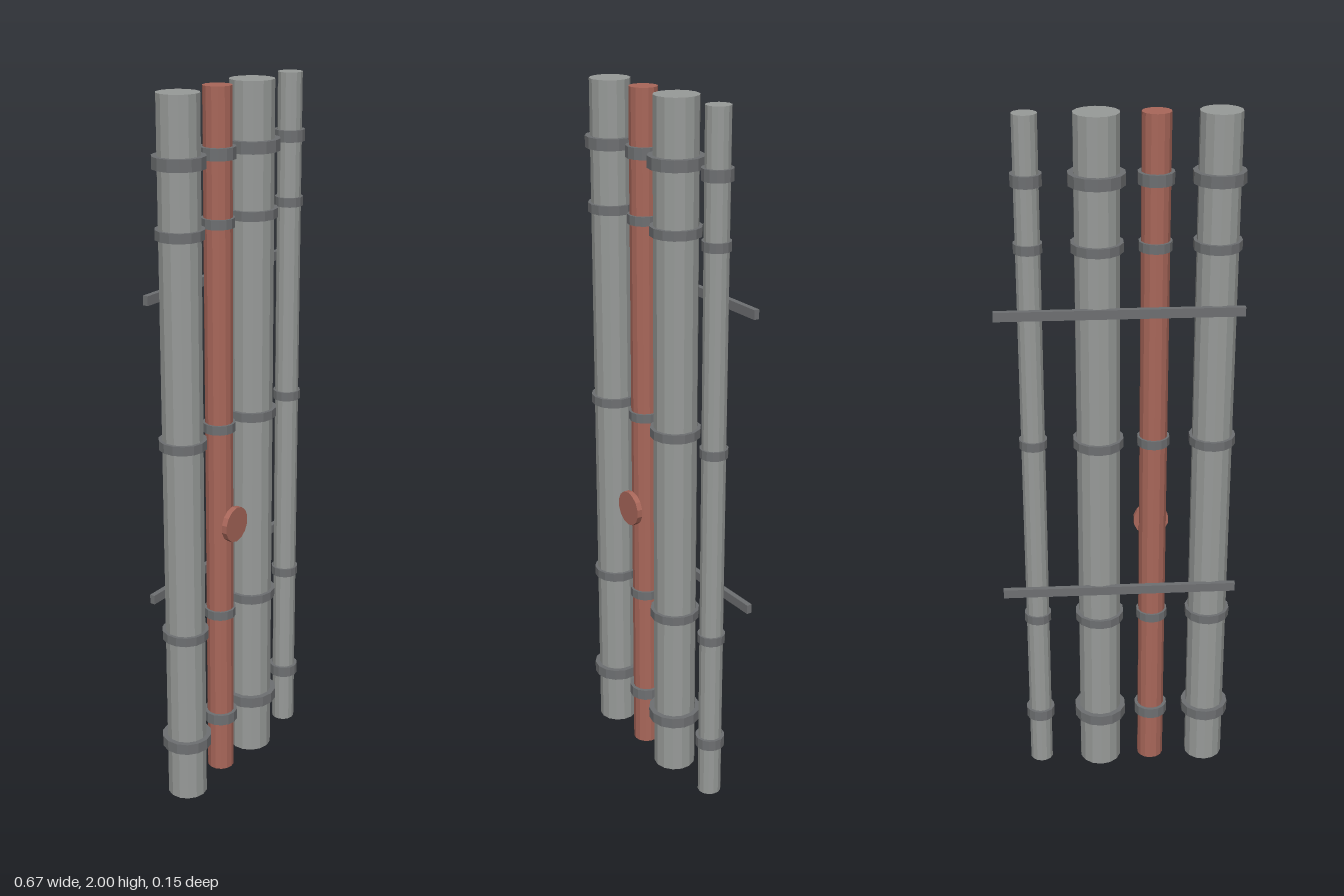
import * as THREE from 'three';

const SIDES = 14;

function material(name, color) {
  const m = new THREE.MeshStandardMaterial({ color, flatShading: true });
  m.name = name;
  return m;
}

export function createModel() {
  const model = new THREE.Group();
  model.name = 'pipeRack';

  const pipeGrey = material('pipeGrey', 0x989b99);
  const fittingGrey = material('fittingGrey', 0x6e7072);
  const rustRed = material('rustRed', 0xa9675a);

  const add = (parent, name, geometry, mat, x, y, z) => {
    const mesh = new THREE.Mesh(geometry, mat);
    mesh.name = name;
    mesh.position.set(x, y, z);
    parent.add(mesh);
    return mesh;
  };
  const cylinder = (r, h) => new THREE.CylinderGeometry(r, r, h, SIDES);

  // Pipes: x, radius, material
  const pipes = [
    [-0.263, 0.0565, pipeGrey],
    [-0.098, 0.0392, rustRed],
    [0.056, 0.0615, pipeGrey],
    [0.238, 0.034, pipeGrey],
  ];
  // Collars: y, height, radius relative to the pipe
  const collars = [
    [0.172, 0.032, 1.25],
    [0.513, 0.026, 1.16],
    [1.08, 0.026, 1.16],
    [1.648, 0.026, 1.16],
    [1.83, 0.032, 1.25],
  ];
  for (const [x, r, mat] of pipes) {
    const group = new THREE.Group();
    group.name = 'pipeRun';
    group.position.x = x;
    model.add(group);
    add(group, 'pipe', cylinder(r, 2), mat, 0, 1, 0);
    for (const [y, h, scale] of collars) {
      add(group, scale > 1.2 ? 'endFlange' : 'collar', cylinder(r * scale, h), fittingGrey, 0, y, 0);
    }
  }

  // Mounting rails across the back
  for (const y of [0.627, 1.479]) {
    add(model, 'mountingRail', new THREE.BoxGeometry(0.67, 0.026, 0.015), fittingGrey, 0, y, -0.0585);
  }

  // Round valve wheel in front of the red pipe
  const wheel = add(model, 'valveWheel', cylinder(0.051, 0.016), rustRed, -0.098, 0.797, 0.052);
  wheel.rotation.x = Math.PI / 2;

  return model;
}
